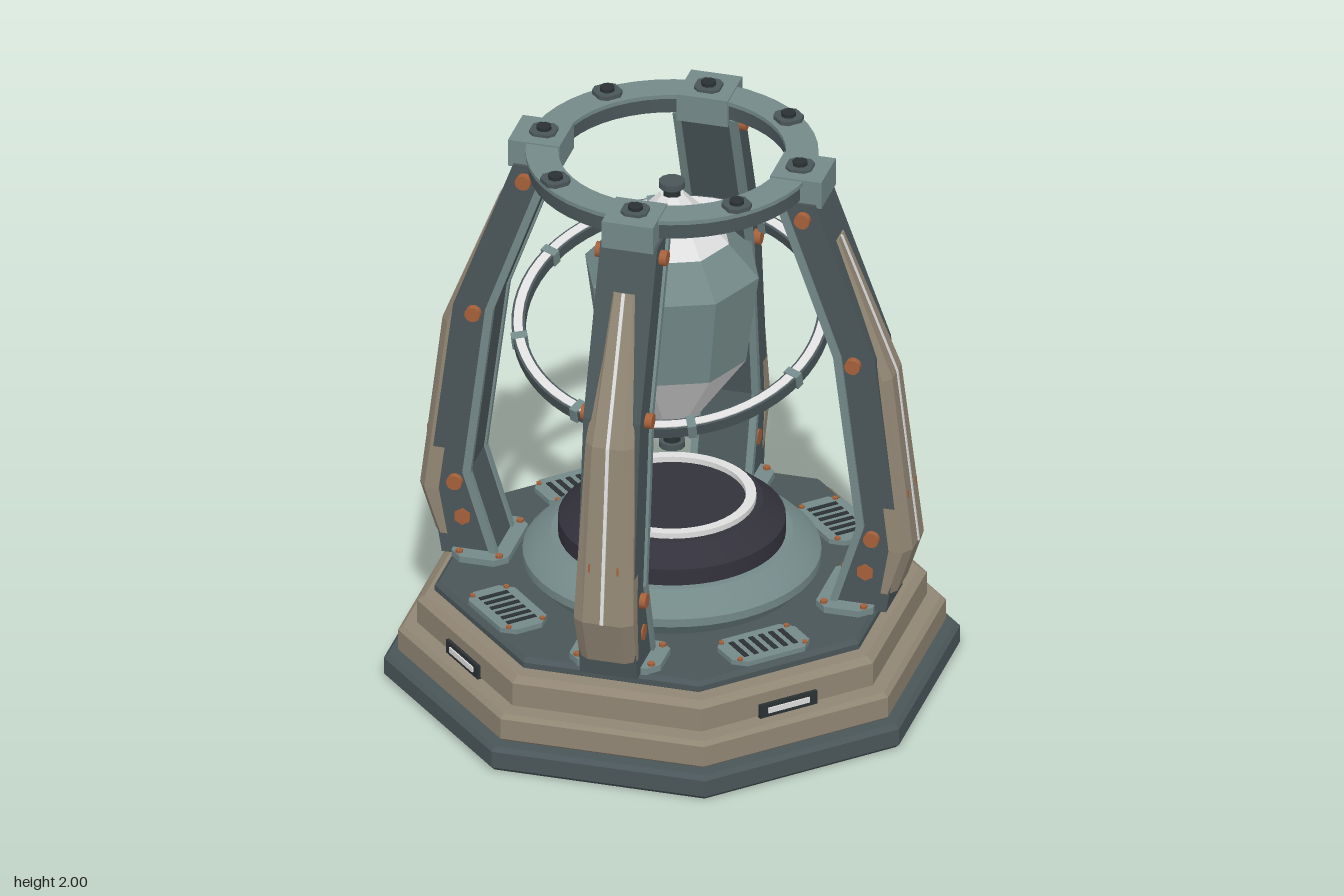
import * as THREE from 'three';
import { toCreasedNormals } from 'three/addons/utils/BufferGeometryUtils.js';

const mat = (name, color) => {
  const m = new THREE.MeshStandardMaterial({ color });
  m.name = name;
  return m;
};

export function createModel() {
  const dark = mat('dark slate', 0x4a5659);
  const teal = mat('grey teal', 0x738988);
  const tan = mat('tan armour', 0x918674);
  const navy = mat('dark navy', 0x33323c);
  const white = mat('pale light', 0xdedede);
  const copper = mat('copper', 0xa5603a);
  const black = mat('near black', 0x2b3133);

  const model = new THREE.Group();
  const add = (parent, name, geo, material, x = 0, y = 0, z = 0) => {
    const mesh = new THREE.Mesh(geo, material);
    mesh.name = name;
    mesh.position.set(x, y, z);
    parent.add(mesh);
    return mesh;
  };
  const group = (parent, name, angle = 0) => {
    const g = new THREE.Group();
    g.name = name;
    g.rotation.y = angle;
    parent.add(g);
    return g;
  };
  const flat = (geo) => {
    const g = geo.index ? geo.toNonIndexed() : geo;
    g.computeVertexNormals();
    return g;
  };
  const vecs = (pts) => pts.map(([a, b]) => new THREE.Vector2(a, b));
  const lathe = (pts, seg = 48) => toCreasedNormals(new THREE.LatheGeometry(vecs(pts), seg), 0.4);
  const tube = (r0, r1, y0, y1, seg = 48) =>
    lathe([[r1, y0], [r1, y1], [r0, y1], [r0, y0], [r1, y0]], seg);
  // Eight-sided solid; profile radii are measured to the flat sides
  const octagon = (pts) => {
    const k = 1 / Math.cos(Math.PI / 8);
    const g = new THREE.LatheGeometry(vecs(pts.map(([r, y]) => [r * k, y])), 8);
    g.rotateY(Math.PI / 8);
    return flat(g);
  };
  const box = (w, h, d) => new THREE.BoxGeometry(w, h, d);
  const plate = (pts, depth, z) => {
    const g = new THREE.ExtrudeGeometry(new THREE.Shape(vecs(pts)), { depth, bevelEnabled: false });
    g.translate(0, 0, z);
    return g;
  };
  // Flat plate with cut corners, lying on the ground plane
  const cutPlate = (w, d, h, c) => {
    const a = w / 2, b = d / 2;
    const g = plate([[-a + c, -b], [a - c, -b], [a, -b + c], [a, b - c],
      [a - c, b], [-a + c, b], [-a, b - c], [-a, -b + c]], h, 0);
    return g.rotateX(-Math.PI / 2);
  };
  // Closed loft; each section is a convex loop of [x, y, z], from top to bottom
  const loft = (sections) => {
    const n = sections[0].length, pos = [];
    const tri = (...p) => p.forEach((v) => pos.push(...v));
    for (let j = 0; j < sections.length - 1; j++) {
      const s = sections[j], t = sections[j + 1];
      for (let i = 0; i < n; i++) {
        const k = (i + 1) % n;
        tri(s[i], s[k], t[i]);
        tri(s[k], t[k], t[i]);
      }
    }
    const top = sections[0], end = sections[sections.length - 1];
    for (let i = 1; i < n - 1; i++) {
      tri(top[0], top[i + 1], top[i]);
      tri(end[0], end[i], end[i + 1]);
    }
    const g = new THREE.BufferGeometry();
    g.setAttribute('position', new THREE.Float32BufferAttribute(pos, 3));
    g.computeVertexNormals();
    return g;
  };

  // Stepped octagonal base
  const base = group(model, 'base');
  add(base, 'bottomTier', octagon([[0, 0], [0.89, 0], [0.905, 0.015], [0.905, 0.075], [0.89, 0.09], [0, 0.09]]), dark);
  add(base, 'lowerTanTier', octagon([[0.84, 0.09], [0.86, 0.105], [0.86, 0.18], [0.845, 0.195], [0, 0.195]]), tan);
  add(base, 'upperTanTier', octagon([[0.78, 0.195], [0.8, 0.205], [0.8, 0.29], [0.775, 0.31], [0, 0.31]]), tan);
  add(base, 'deck', octagon([[0.72, 0.31], [0.745, 0.325], [0.745, 0.345], [0.73, 0.36], [0, 0.36]]), dark);

  // Vents and edge lights on the diagonal sides
  for (let k = 0; k < 4; k++) {
    const corner = group(base, 'cornerDetails', Math.PI / 4 + k * Math.PI / 2);
    add(corner, 'ventPlate', cutPlate(0.18, 0.3, 0.02, 0.04), teal, 0.635, 0.358, 0);
    for (let i = 0; i < 6; i++)
      add(corner, 'ventSlot', box(0.11, 0.006, 0.018), black, 0.635, 0.378, (i - 2.5) * 0.038);
    for (const [x, z] of [[0.57, 0.125], [0.57, -0.125], [0.7, 0.125], [0.7, -0.125]])
      add(corner, 'ventScrew', new THREE.CylinderGeometry(0.01, 0.01, 0.008, 6), copper, x, 0.381, z);
    add(corner, 'lightFrame', box(0.03, 0.05, 0.22), black, 0.797, 0.225, 0);
    add(corner, 'lightPanel', box(0.008, 0.02, 0.16), white, 0.813, 0.225, 0);
  }

  // Central pedestal
  const pedestal = group(model, 'pedestal');
  add(pedestal, 'pedestalSkirt', lathe([[0.46, 0.36], [0.505, 0.41], [0.505, 0.44], [0.47, 0.475], [0.41, 0.505], [0, 0.505]]), teal);
  add(pedestal, 'pedestalDrum', lathe([[0.385, 0.5], [0.385, 0.565], [0.31, 0.63], [0, 0.63]]), navy);
  add(pedestal, 'pedestalLightRing', tube(0.25, 0.285, 0.625, 0.65), white);

  // Faceted floating core
  const core = group(model, 'core');
  const facet = (pts) => flat(new THREE.LatheGeometry(vecs(pts), 8));
  add(core, 'coreLowerCone', facet([[0.03, 0.88], [0.26, 1.2]]), white);
  add(core, 'coreBody', facet([[0.26, 1.2], [0.305, 1.525], [0.2, 1.64]]), teal);
  add(core, 'coreUpperCone', facet([[0.2, 1.64], [0.04, 1.81]]), white);
  for (const [y, s] of [[0.88, -1], [1.81, 1]]) {
    add(core, 'coreCollar', new THREE.CylinderGeometry(0.03, 0.03, 0.04, 12), black, 0, y + s * 0.01, 0);
    add(core, 'coreKnob', new THREE.CylinderGeometry(0.045, 0.045, 0.022, 12), dark, 0, y + s * 0.035, 0);
  }

  // Tilted ring around the core
  const gimbal = group(model, 'gimbalRing');
  gimbal.position.y = 1.33;
  gimbal.rotation.x = 0.32;
  add(gimbal, 'gimbalBand', tube(0.497, 0.543, -0.021, 0.021, 64), dark);
  add(gimbal, 'gimbalLight', tube(0.505, 0.535, 0.018, 0.025, 64), white);
  for (let k = 0; k < 8; k++) {
    const a = group(gimbal, 'gimbalClampSpot', (k + 0.5) * Math.PI / 4);
    add(a, 'gimbalClamp', box(0.056, 0.054, 0.03), teal, 0.52, 0, 0);
  }

  // Top ring
  const crown = group(model, 'topRing');
  add(crown, 'topRingBody', tube(0.395, 0.485, 1.9, 1.96), dark);
  add(crown, 'topRingCap', tube(0.385, 0.495, 1.957, 1.972), teal);
  for (let k = 0; k < 8; k++) {
    const spot = group(crown, 'topBoltSpot', k * Math.PI / 4);
    if (k % 2 === 0) add(spot, 'topBlock', box(0.18, 0.1, 0.18), teal, 0.46, 1.927, 0);
    add(spot, 'topBoltBase', cutPlate(0.09, 0.09, 0.015, 0.02), dark, 0.45, 1.972, 0);
    add(spot, 'topBolt', new THREE.CylinderGeometry(0.026, 0.026, 0.015, 8), black, 0.45, 1.9925, 0);
  }

  // Four curved arms, each built along +x
  const inner = [[0.4, 1.89], [0.605, 1.32], [0.685, 0.68], [0.585, 0.36]];
  const outer = [[0.78, 0.36], [0.825, 0.64], [0.74, 1.32], [0.53, 1.89]];
  const trim = [...inner.map(([x, y]) => [x - 0.008, y]),
    ...inner.map(([x, y]) => [x + 0.02, y]).reverse()];
  // Armour stations: outer x, y, inner x, inner y, half width
  const stations = [[0.595, 1.735, 0.52, 1.72, 0.05], [0.79, 1.24, 0.71, 1.24, 0.085],
    [0.865, 0.6, 0.79, 0.6, 0.105], [0.81, 0.43, 0.76, 0.43, 0.1]];
  const armour = loft(stations.map(([x, y, ix, iy, w]) => [[ix, iy, -w], [x - 0.025, y, -w],
    [x, y, -w * 0.65], [x, y, w * 0.65], [x - 0.025, y, w], [ix, iy, w]]));
  const strip = loft(stations.slice(0, 3).map(([x, y]) =>
    [[x - 0.002, y, -0.006], [x + 0.004, y, -0.006], [x + 0.004, y, 0.006], [x - 0.002, y, 0.006]]));
  for (let k = 0; k < 4; k++) {
    const arm = group(model, 'arm', k * Math.PI / 2);
    add(arm, 'armBody', plate([...inner, ...outer].reverse(), 0.2, -0.1), dark);
    add(arm, 'armArmour', armour, tan);
    add(arm, 'armLightStrip', strip, white);
    add(arm, 'armFoot', cutPlate(0.2, 0.32, 0.025, 0.04), teal, 0.64, 0.358, 0);
    for (const s of [-1, 1]) {
      add(arm, 'armTrim', plate(trim, 0.025, s * 0.098 - 0.0125), teal);
      for (const [x, y, r, half, seg] of [[0.49, 1.835, 0.027, 0.125, 16], [0.667, 1.3, 0.027, 0.125, 16],
        [0.732, 0.64, 0.027, 0.122, 16], [0.707, 0.505, 0.031, 0.106, 6]]) {
        const bolt = add(arm, 'armBolt', new THREE.CylinderGeometry(r, r, 0.04, seg), copper, x, y, s * (half - 0.02));
        bolt.rotation.x = Math.PI / 2;
      }
      add(arm, 'armourMark', box(0.008, 0.03, 0.006), copper, 0.841, 0.8, s * 0.05);
      for (const x of [0.57, 0.71])
        add(arm, 'footScrew', new THREE.CylinderGeometry(0.013, 0.013, 0.012, 6), copper, x, 0.387, s * 0.13);
    }
  }
  return model;
}
